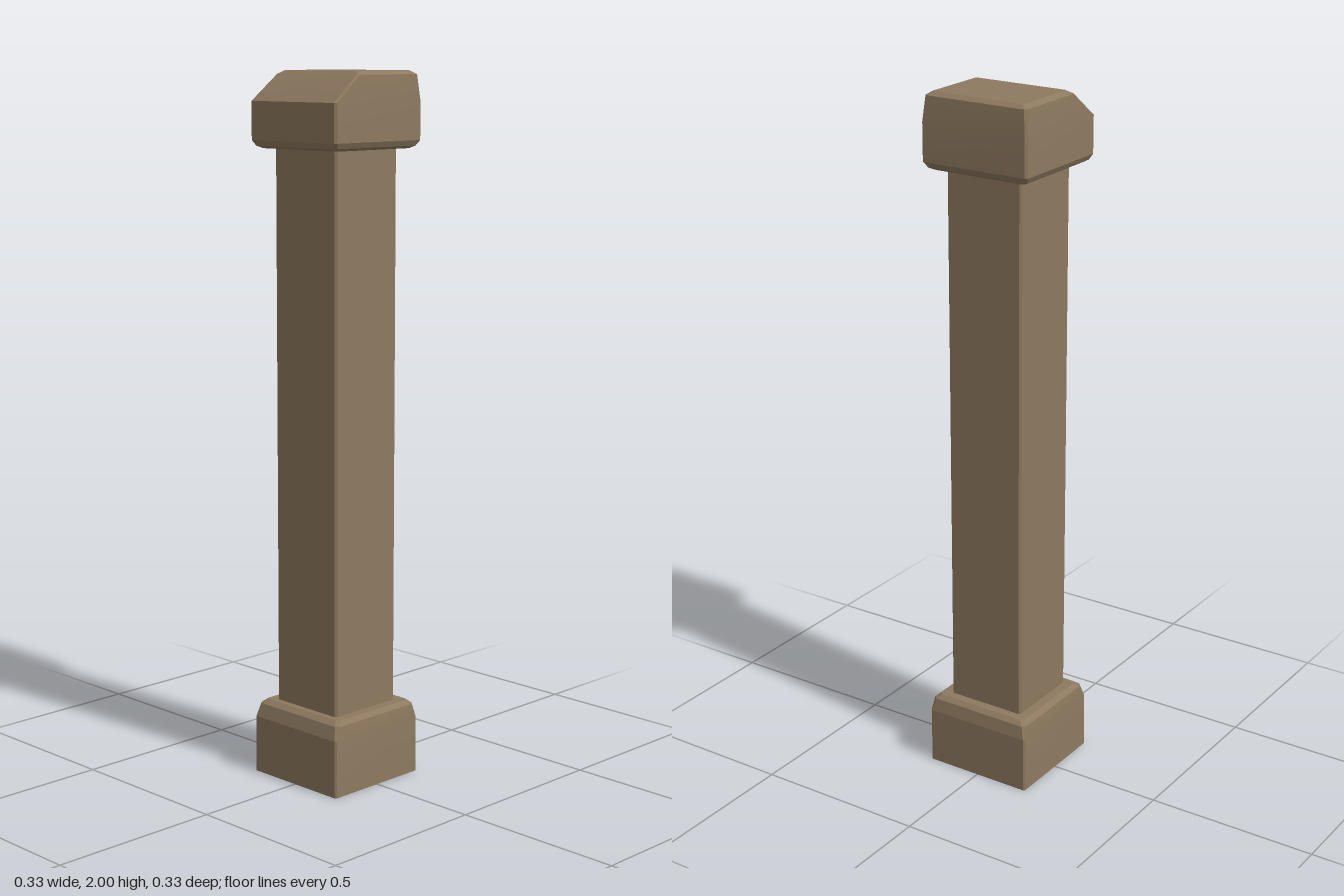
import * as THREE from 'three';
import { toCreasedNormals } from 'three/addons/utils/BufferGeometryUtils.js';

// Closed loft through horizontal rectangles with chamfered corners.
// Each ring is [y, xMin, xMax, zHalf, chamfer].
function loft(rings) {
  const positions = [];
  const index = [];
  const n = 8;
  for (const [y, x0, x1, z, c] of rings) {
    const outline = [
      [x1, z - c], [x1, c - z], [x1 - c, -z], [x0 + c, -z],
      [x0, c - z], [x0, z - c], [x0 + c, z], [x1 - c, z],
    ];
    for (const [px, pz] of outline) positions.push(px, y, pz);
  }
  for (let r = 0; r < rings.length - 1; r++) {
    for (let i = 0; i < n; i++) {
      const a = r * n + i;
      const b = r * n + (i + 1) % n;
      index.push(a, b, b + n, a, b + n, a + n);
    }
  }
  const top = (rings.length - 1) * n;
  for (let i = 1; i < n - 1; i++) {
    index.push(0, i + 1, i); // underside
    index.push(top, top + i, top + i + 1); // upper face
  }
  const geometry = new THREE.BufferGeometry();
  geometry.setAttribute('position', new THREE.Float32BufferAttribute(positions, 3));
  geometry.setIndex(index);
  return toCreasedNormals(geometry, 0.15);
}

export function createModel() {
  const group = new THREE.Group();
  group.name = 'squarePillar';

  const stone = new THREE.MeshStandardMaterial({ color: 0x8d795f });
  stone.name = 'brownStone';

  const addPart = (name, rings) => {
    const mesh = new THREE.Mesh(loft(rings), stone);
    mesh.name = name;
    group.add(mesh);
  };

  // Plinth with worn upper edges
  addPart('base', [
    [0, -0.166, 0.164, 0.165, 0.004],
    [0.165, -0.166, 0.164, 0.165, 0.006],
    [0.203, -0.154, 0.157, 0.16, 0.01],
    [0.215, -0.138, 0.144, 0.146, 0.01],
  ]);

  // Plain square shaft with slim corner chamfers
  addPart('shaft', [
    [0.2, -0.12, 0.118, 0.119, 0.006],
    [1.81, -0.12, 0.118, 0.119, 0.006],
  ]);

  // Capital, its upper right edge broken away in a slope
  addPart('capital', [
    [1.79, -0.146, 0.144, 0.145, 0.008],
    [1.797, -0.16, 0.157, 0.158, 0.008],
    [1.812, -0.167, 0.165, 0.166, 0.006],
    [1.918, -0.167, 0.165, 0.166, 0.006],
    [1.99, -0.077, 0.158, 0.159, 0.006],
    [2.0, -0.06, 0.144, 0.144, 0.006],
  ]);

  return group;
}
